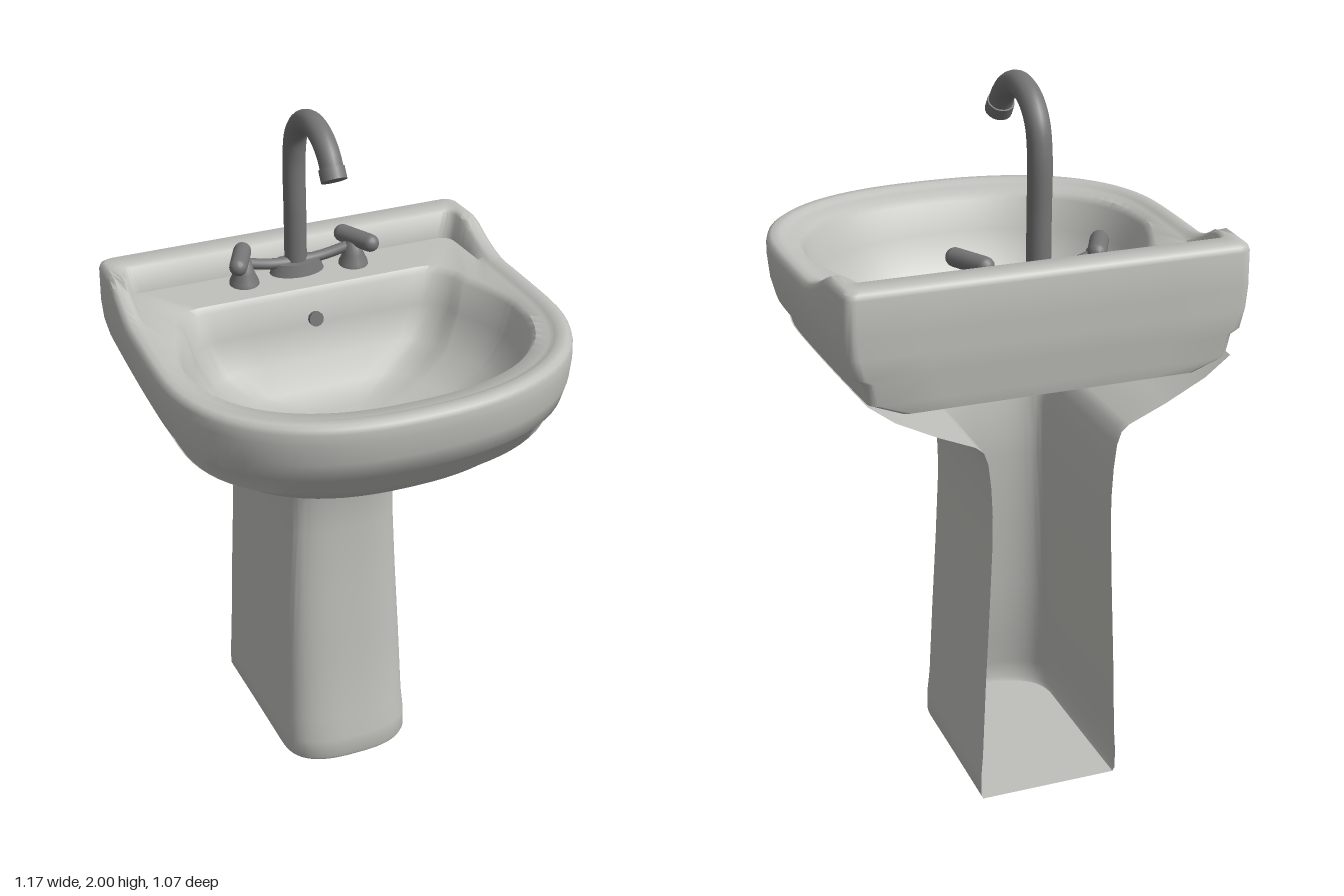
import * as THREE from 'three';
import { toCreasedNormals } from 'three/addons/utils/BufferGeometryUtils.js';

const ceramic = new THREE.MeshStandardMaterial({ color: 0xbfbfbb, side: THREE.DoubleSide });
ceramic.name = 'ceramic';
const metal = new THREE.MeshStandardMaterial({ color: 0x757575 });
metal.name = 'metal';

const FRONT = 36, SIDE = 16, CORNER = 5;

// Rounded front half of a D-shaped outline, from +x round to -x
function frontArc({ w, zf, z0, n = 2.35 }) {
  const pts = [];
  for (let i = 0; i <= FRONT; i++) {
    const a = Math.PI * i / FRONT, c = Math.cos(a);
    pts.push([w * Math.sign(c) * Math.abs(c) ** (2 / n),
      z0 + (zf - z0) * Math.max(0, Math.sin(a)) ** (2 / n)]);
  }
  return pts;
}

// Straight sides running back from the front arc; k is the back/front width ratio
function sidePoints({ w, z0, zb, k = 0.96, r = 0 }) {
  const pts = [];
  for (let i = 1; i <= SIDE; i++) {
    const t = i / SIDE;
    pts.push([w * (1 - (1 - k) * t ** 1.5), z0 + (zb + r - z0) * t]);
  }
  return pts;
}

const mirror = (pts) => pts.map(([x, z]) => [-x, z]);

// Full outline, closed along the back
function closedOutline(s) {
  const side = sidePoints(s), r = s.r ?? 0, wb = s.w * (s.k ?? 0.96), corner = [];
  for (let i = 1; i <= CORNER; i++) {
    const a = Math.PI / 2 * i / CORNER;
    corner.push([wb - r + r * Math.cos(a), s.zb + r - r * Math.sin(a)]);
  }
  for (const f of [0.66, 0.33]) corner.push([(wb - r) * f, s.zb]);
  const half = [...side, ...corner];
  return [...frontArc(s), ...mirror(half), [0, s.zb], ...half.reverse()];
}

// Outline left open at the back
function openOutline(s) {
  const side = sidePoints(s);
  return [...[...side].reverse(), ...frontArc(s), ...mirror(side)];
}

// Skin a stack of outlines; y is a number or a function of z
function loft(sections, outline, closed, crease) {
  const pos = [], index = [];
  let n = 0;
  for (const s of sections) {
    const pts = outline(s);
    n = pts.length;
    for (const [x, z] of pts) pos.push(x, typeof s.y === 'function' ? s.y(z) : s.y, z);
  }
  for (let r = 0; r < sections.length - 1; r++) {
    for (let i = 0; i < (closed ? n : n - 1); i++) {
      const j = (i + 1) % n, a = r * n + i, b = r * n + j;
      index.push(a, a + n, b, b, a + n, b + n);
    }
  }
  const g = new THREE.BufferGeometry();
  g.setAttribute('position', new THREE.Float32BufferAttribute(pos, 3));
  g.setIndex(index);
  return toCreasedNormals(g, crease);
}

function add(parent, name, geometry, material) {
  const mesh = new THREE.Mesh(geometry, material);
  mesh.name = name;
  parent.add(mesh);
  return mesh;
}

// Rim height sweeps up towards the back ledge
const rimY = (drop) => (z) => {
  const t = THREE.MathUtils.clamp((-z - 0.2) / 0.18, 0, 1);
  return 1.483 + 0.068 * t ** 1.6 - drop;
};

function makeBasin() {
  const S = (w, y, zf, zb, z0 = 0.05, r = 0.03, k = 0.96) => ({ w, y, zf, zb, z0, r, k });
  return loft([
    // underside belly
    S(0.005, 1.115, -0.02, -0.03, -0.025, 0.001),
    S(0.15, 1.12, 0.12, -0.16, 0, 0.08, 0.8),
    S(0.31, 1.15, 0.27, -0.36, 0, 0.14, 0.85),
    S(0.44, 1.205, 0.4, -0.525, 0.03),
    // outer wall with step
    S(0.525, 1.24, 0.465, -0.532),
    S(0.54, 1.3, 0.495, -0.532),
    S(0.565, 1.315, 0.515, -0.535),
    S(0.58, 1.37, 0.53, -0.535),
    S(0.586, 1.43, 0.535, -0.535),
    S(0.585, rimY(0.022), 0.535, -0.535),
    // rolled rim
    S(0.581, rimY(0.008), 0.531, -0.531),
    S(0.57, rimY(0), 0.52, -0.52),
    S(0.548, rimY(0), 0.495, -0.458),
    S(0.538, rimY(0.008), 0.483, -0.449),
    // tap deck
    S(0.525, 1.468, 0.465, -0.435, 0.05, 0.04),
    S(0.5, 1.462, 0.425, -0.292, 0.02, 0.1, 0.88),
    // bowl
    S(0.488, 1.445, 0.41, -0.28, 0.02, 0.1, 0.86),
    S(0.465, 1.36, 0.385, -0.262, 0.02, 0.1, 0.86),
    S(0.41, 1.26, 0.33, -0.235, 0.02, 0.1, 0.86),
    S(0.3, 1.195, 0.24, -0.18, 0.02, 0.08, 0.86),
    S(0.14, 1.168, 0.12, -0.09, 0.01, 0.05, 0.86),
    S(0.005, 1.162, 0.015, 0.005, 0.01, 0.001),
  ], closedOutline, true, 0.75);
}

function makePedestal() {
  const S = (w, y, zf, z0 = -0.1, k = 1.02, n = 2.7) => ({ w, y, zf, z0, k, n, zb: -0.532 });
  return loft([
    // floor fans out from the middle of the open back
    S(0.0005, 0, -0.531, -0.5315),
    S(0.194, 0, 0.045),
    S(0.2, 0.012, 0.05),
    S(0.2, 0.07, 0.047),
    S(0.195, 0.14, 0.03),
    S(0.187, 0.36, 0.01),
    S(0.176, 0.6, -0.01),
    S(0.168, 0.8, -0.02),
    S(0.168, 0.88, -0.018),
    S(0.172, 0.96, -0.006),
    S(0.18, 1.03, 0.008),
    S(0.192, 1.065, 0.03),
    S(0.215, 1.085, 0.065, -0.08),
    // flare under the basin
    S(0.33, 1.13, 0.26, -0.02, 0.98, 2.4),
    S(0.455, 1.188, 0.405, 0.03, 0.96, 2.35),
    S(0.53, 1.243, 0.466, 0.05, 0.96, 2.35),
  ], openOutline, false, 0.75);
}

function makeTap() {
  const tap = new THREE.Group();
  tap.name = 'tap';
  const V = (x, y, z) => new THREE.Vector3(x, y, z);

  // swan-neck spout
  const path = new THREE.CatmullRomCurve3([
    [1.46, -0.412], [1.65, -0.412], [1.82, -0.412], [1.895, -0.393], [1.945, -0.345],
    [1.967, -0.27], [1.95, -0.2], [1.915, -0.153], [1.868, -0.122],
  ].map(([y, z]) => V(0, y, z)));
  add(tap, 'spout', new THREE.TubeGeometry(path, 60, 0.033, 18), metal);
  const end = path.getPoint(1), dir = path.getTangent(1);
  const nozzle = add(tap, 'nozzle', new THREE.CylinderGeometry(0.037, 0.037, 0.035, 18), metal);
  nozzle.position.copy(end).addScaledVector(dir, -0.008);
  nozzle.quaternion.setFromUnitVectors(V(0, 1, 0), dir);

  const plate = add(tap, 'basePlate', new THREE.CylinderGeometry(0.07, 0.085, 0.04, 28), metal);
  plate.scale.z = 0.6;
  plate.position.set(0, 1.48, -0.405);

  const bar = new THREE.CatmullRomCurve3([
    V(-0.17, 1.525, -0.39), V(-0.08, 1.502, -0.4), V(0, 1.495, -0.405),
    V(0.08, 1.502, -0.4), V(0.17, 1.525, -0.39)]);
  add(tap, 'crossBar', new THREE.TubeGeometry(bar, 24, 0.016, 10), metal);

  // valve stems and angled lever handles
  const stem = [[0.045, 1.46], [0.042, 1.475], [0.03, 1.5], [0.022, 1.535], [0, 1.545]]
    .map(([r, y]) => new THREE.Vector2(r, y));
  for (const s of [-1, 1]) {
    const valve = add(tap, 'valveStem', new THREE.LatheGeometry(stem, 18), metal);
    valve.position.set(s * 0.17, 0, -0.385);
    const lever = add(tap, 'leverHandle', new THREE.CapsuleGeometry(0.026, 0.105, 5, 16), metal);
    lever.position.set(s * 0.18, 1.543, -0.385);
    lever.quaternion.setFromUnitVectors(V(0, 1, 0), V(s * 0.45, 0, 0.9).normalize());
  }
  return tap;
}

export function createModel() {
  const model = new THREE.Group();
  model.name = 'pedestalSink';
  add(model, 'basin', makeBasin(), ceramic);
  add(model, 'pedestal', makePedestal(), ceramic);
  model.add(makeTap());
  // overflow cap on the back wall of the bowl
  const cap = add(model, 'overflowCap', new THREE.CylinderGeometry(0.022, 0.022, 0.02, 12), metal);
  cap.rotation.x = Math.PI / 2 - 0.2;
  cap.position.set(0, 1.375, -0.262);
  return model;
}
